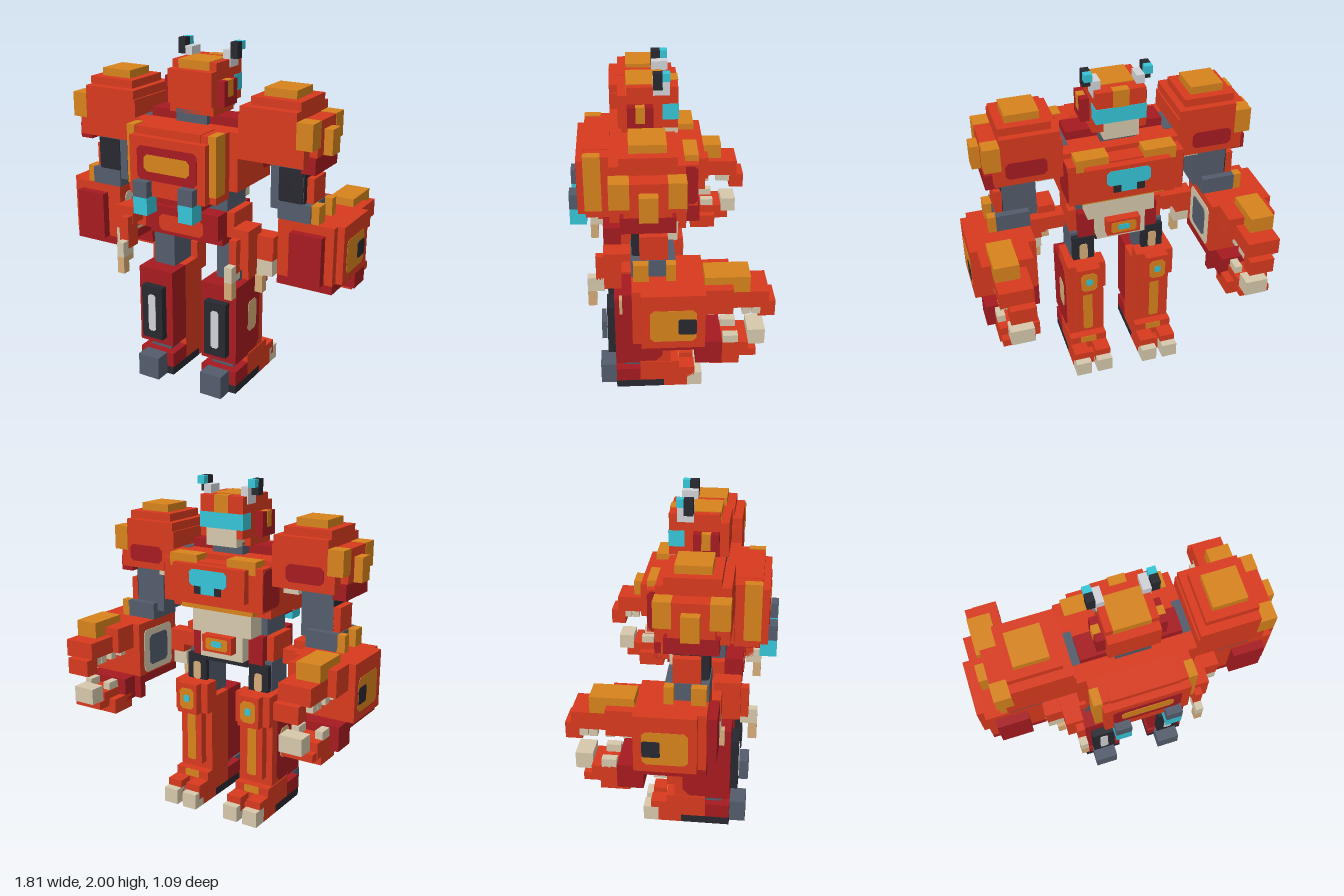
import * as THREE from 'three';

const mat = (name, color) => {
  const m = new THREE.MeshStandardMaterial({ color });
  m.name = name;
  return m;
};

export function createModel() {
  const red = mat('red', 0xd93a1e), dark = mat('dark red', 0xa61b20), gold = mat('gold', 0xd7831c);
  const grey = mat('slate grey', 0x535c6c), black = mat('black', 0x282930), cyan = mat('cyan', 0x36c6d8);
  const bone = mat('bone', 0xd6c8ac), tan = mat('tan', 0xd6ac78), white = mat('silver', 0xd2d3d8);
  const root = new THREE.Group();
  let part;
  const section = (name) => { part = new THREE.Group(); part.name = name; root.add(part); };
  const add = (name, m, geo) => {
    const mesh = new THREE.Mesh(geo, m);
    mesh.name = name;
    part.add(mesh);
    return mesh;
  };

  // Block from its bounds; pair mirrors it across x
  const box = (name, m, x0, x1, y0, y1, z0, z1) =>
    add(name, m, new THREE.BoxGeometry(x1 - x0, y1 - y0, z1 - z0))
      .position.set((x0 + x1) / 2, (y0 + y1) / 2, (z0 + z1) / 2);
  const pair = (name, m, x0, x1, ...r) => {
    box(name + 'Left', m, x0, x1, ...r);
    box(name + 'Right', m, -x1, -x0, ...r);
  };

  // Thin painted plate with clipped corners, facing along x or z
  const plate = (name, m, axis, pos, u0, u1, y0, y1, c = 0.02) => {
    const s = new THREE.Shape([[u0 + c, y0], [u1 - c, y0], [u1, y0 + c], [u1, y1 - c],
      [u1 - c, y1], [u0 + c, y1], [u0, y1 - c], [u0, y0 + c]].map(p => new THREE.Vector2(...p)));
    const g = new THREE.ExtrudeGeometry(s, { depth: 0.006, bevelEnabled: false });
    g.translate(0, 0, -0.003);
    if (axis === 'x') g.rotateY(-Math.PI / 2).translate(pos, 0, 0);
    else g.translate(0, 0, pos);
    add(name, m, g);
  };
  const platePair = (name, m, axis, pos, u0, u1, ...r) => {
    plate(name + 'Left', m, axis, pos, u0, u1, ...r);
    if (axis === 'x') plate(name + 'Right', m, axis, -pos, u0, u1, ...r);
    else plate(name + 'Right', m, axis, pos, -u1, -u0, ...r);
  };

  section('head');
  box('skull', red, -0.14, 0.14, 1.67, 1.86, -0.065, 0.26);
  box('skullTop', red, -0.14, 0.14, 1.86, 1.905, -0.065, 0.21);
  box('skullBase', red, -0.14, 0.14, 1.62, 1.67, 0.02, 0.24);
  box('crownPlate', gold, -0.1, 0.1, 1.86, 1.909, 0.02, 0.213);
  box('browCrest', gold, -0.045, 0.045, 1.81, 1.909, -0.07, -0.02);
  box('visor', cyan, -0.143, 0.143, 1.72, 1.81, -0.068, 0.02);
  box('chin', bone, -0.1, 0.1, 1.62, 1.72, -0.068, 0.02);
  pair('ear', dark, 0.14, 0.19, 1.67, 1.81, 0.07, 0.21);
  pair('earStrip', gold, 0.15, 0.193, 1.72, 1.812, 0.115, 0.165);
  pair('antennaBase', white, 0.1, 0.145, 1.86, 1.955, -0.02, 0.07);
  pair('antennaRod', black, 0.145, 0.19, 1.91, 2, 0.02, 0.07);
  pair('antennaLight', cyan, 0.145, 0.19, 1.955, 2, -0.02, 0.02);

  section('torso');
  box('neck', grey, -0.1, 0.1, 1.57, 1.64, 0, 0.24);
  pair('collar', dark, 0.1, 0.28, 1.57, 1.62, 0.07, 0.21);
  box('chestCore', red, -0.33, 0.33, 1.24, 1.57, -0.07, 0.31);
  pair('shoulderJoint', grey, 0.28, 0.35, 1.5, 1.573, 0.02, 0.21);
  box('breast', red, -0.33, 0.33, 1.29, 1.54, -0.165, -0.07);
  platePair('breastSide', dark, 'x', 0.33, -0.163, 0.02, 1.3, 1.53);
  box('breastPanel', red, -0.24, 0.24, 1.34, 1.53, -0.21, -0.165);
  pair('breastCorner', gold, 0.1, 0.285, 1.5, 1.575, -0.168, -0.07);
  box('breastUnderside', gold, -0.24, 0.24, 1.25, 1.3, -0.12, -0.06);
  plate('chestGem', cyan, 'z', -0.21, -0.125, 0.125, 1.41, 1.505, 0.018);
  plate('gemLower', cyan, 'z', -0.21, -0.08, 0.08, 1.365, 1.44, 0.015);
  platePair('gemStud', black, 'z', -0.212, 0.045, 0.09, 1.365, 1.41, 0.003);

  section('backpack');
  box('packBody', red, -0.28, 0.28, 1.2, 1.57, 0.31, 0.45);
  box('packBase', dark, -0.19, 0.19, 1.15, 1.2, 0.31, 0.45);
  pair('packCorner', gold, 0.235, 0.284, 1.24, 1.575, 0.36, 0.455);
  box('packTop', red, -0.19, 0.19, 1.53, 1.574, 0.31, 0.455);
  box('packPanel', red, -0.24, 0.24, 1.2, 1.53, 0.45, 0.495);
  plate('packInset', dark, 'z', 0.496, -0.19, 0.19, 1.29, 1.48);
  plate('packBadge', gold, 'z', 0.499, -0.145, 0.145, 1.34, 1.435);
  pair('jetHousing', grey, 0.1, 0.19, 1.2, 1.29, 0.44, 0.545);
  pair('jetFlame', cyan, 0.1, 0.19, 1.1, 1.2, 0.45, 0.545);

  section('waist');
  box('spine', grey, -0.24, 0.24, 1.1, 1.24, 0.05, 0.26);
  box('abdomen', bone, -0.2, 0.2, 1.1, 1.25, -0.068, 0.05);
  box('lowerAbdomen', bone, -0.145, 0.145, 0.95, 1.1, -0.068, 0.05);
  box('pelvis', dark, -0.24, 0.24, 0.91, 1.1, 0, 0.31);
  pair('hipBlock', red, 0.2, 0.285, 0.95, 1.1, 0.05, 0.26);
  box('rearBelt', dark, -0.24, 0.24, 0.955, 1.1, 0.31, 0.36);
  plate('rearBeltPanel', red, 'z', 0.361, -0.145, 0.145, 0.955, 1.05);
  box('crotch', black, -0.145, 0.145, 0.905, 0.95, -0.01, 0.2);
  box('buckle', red, -0.1, 0.1, 1.0, 1.1, -0.12, -0.06);
  plate('buckleTrim', gold, 'z', -0.121, -0.075, 0.075, 1.015, 1.085, 0.01);
  plate('buckleGem', cyan, 'z', -0.124, -0.035, 0.035, 1.035, 1.07, 0.008);

  section('hipClaws');
  pair('clawArm', red, 0.28, 0.53, 0.91, 1.0, 0.16, 0.26);
  pair('clawKnuckle', red, 0.33, 0.43, 0.95, 1.05, 0.21, 0.36);
  pair('clawInner', red, 0.335, 0.38, 0.81, 1.0, 0.31, 0.405);
  pair('clawOuter', red, 0.38, 0.43, 0.82, 0.95, 0.26, 0.36);
  pair('outerFinger', red, 0.43, 0.525, 0.86, 0.95, 0.16, 0.26);
  pair('talonUpper', bone, 0.335, 0.38, 0.77, 0.86, 0.36, 0.455);
  pair('talonLower', tan, 0.335, 0.38, 0.67, 0.77, 0.405, 0.455);
  pair('outerTalon', bone, 0.43, 0.525, 0.77, 0.86, 0.19, 0.26);
  pair('outerTalonTip', tan, 0.43, 0.475, 0.67, 0.77, 0.23, 0.28);

  section('shoulders');
  pair('pauldron', red, 0.33, 0.715, 1.43, 1.67, -0.07, 0.31);
  pair('pauldronUpper', red, 0.34, 0.67, 1.67, 1.72, -0.07, 0.31);
  pair('pauldronStep', red, 0.38, 0.67, 1.72, 1.765, -0.03, 0.26);
  pair('pauldronCap', gold, 0.43, 0.62, 1.765, 1.81, 0.02, 0.21);
  pair('pauldronOuter', red, 0.715, 0.76, 1.48, 1.67, 0, 0.24);
  pair('pauldronLower', dark, 0.68, 0.76, 1.39, 1.48, -0.02, 0.26);
  for (const [z0, z1] of [[-0.073, 0.02], [0.21, 0.313]])
    pair('pauldronCorner', gold, 0.67, 0.763, 1.53, 1.673, z0, z1);
  pair('pauldronStud', gold, 0.76, 0.81, 1.48, 1.62, 0.07, 0.165);
  platePair('pauldronInset', dark, 'z', -0.071, 0.42, 0.65, 1.47, 1.57);
  pair('pauldronLining', bone, 0.38, 0.475, 1.39, 1.43, -0.02, 0.1);

  section('upperArms');
  pair('armFrame', grey, 0.475, 0.67, 1.15, 1.43, 0.02, 0.2);
  platePair('armPad', black, 'z', 0.202, 0.525, 0.668, 1.2, 1.39, 0.005);
  platePair('armSidePad', black, 'x', 0.671, 0.02, 0.2, 1.2, 1.43, 0.005);
  pair('armGuard', red, 0.67, 0.715, 1.2, 1.34, 0.02, 0.165);
  pair('elbow', grey, 0.525, 0.72, 1.1, 1.2, -0.02, 0.21);
  pair('elbowStudRear', gold, 0.715, 0.765, 1.1, 1.2, 0.12, 0.2);
  pair('elbowStudFront', gold, 0.715, 0.765, 1.1, 1.2, -0.02, 0.03);

  section('beastForearms');
  pair('forearm', red, 0.53, 0.86, 0.77, 1.1, -0.165, 0.21);
  pair('forearmBase', dark, 0.53, 0.86, 0.72, 0.77, -0.165, 0.21);
  pair('forearmRear', dark, 0.62, 0.81, 0.77, 1.05, 0.21, 0.26);
  pair('cheek', red, 0.86, 0.9, 0.77, 1.1, -0.165, 0.165);
  platePair('cheekPanel', gold, 'x', 0.899, -0.12, 0.12, 0.815, 1.01);
  platePair('eye', black, 'x', 0.902, -0.12, -0.025, 0.86, 0.955, 0.008);
  platePair('innerFrame', bone, 'x', 0.529, -0.12, 0.16, 0.78, 1.05);
  platePair('innerPanel', grey, 'x', 0.525, -0.07, 0.11, 0.82, 1.01);
  pair('upperJaw', red, 0.575, 0.86, 0.95, 1.1, -0.31, -0.165);
  pair('muzzle', red, 0.62, 0.81, 0.95, 1.05, -0.5, -0.31);
  pair('snout', red, 0.62, 0.765, 0.86, 0.955, -0.545, -0.455);
  pair('browPlate', gold, 0.67, 0.81, 1.05, 1.145, -0.4, -0.165);
  for (const z of [-0.21, -0.3, -0.39, -0.44])
    for (const x of [0.625, 0.76]) pair('upperTooth', bone, x, x + 0.045, 0.905, 0.955, z - 0.02, z + 0.025);
  pair('jawHinge', dark, 0.575, 0.86, 0.63, 0.77, -0.26, -0.12);
  pair('wrist', dark, 0.53, 0.86, 0.63, 0.72, -0.165, -0.12);
  pair('jawUnderside', red, 0.575, 0.81, 0.58, 0.67, -0.36, -0.2);
  pair('lowerJaw', red, 0.62, 0.81, 0.63, 0.72, -0.405, -0.2);
  pair('jawTip', red, 0.62, 0.805, 0.625, 0.67, -0.45, -0.36);
  pair('lowerFang', bone, 0.63, 0.765, 0.67, 0.765, -0.5, -0.405);
  for (const x of [0.625, 0.765]) pair('lowerTooth', bone, x, x + 0.045, 0.715, 0.765, -0.35, -0.27);

  section('legs');
  pair('thigh', grey, 0.145, 0.285, 0.67, 0.95, 0.03, 0.21);
  pair('thighFront', black, 0.15, 0.28, 0.67, 0.93, -0.005, 0.03);
  platePair('thighStrip', tan, 'z', -0.006, 0.19, 0.24, 0.77, 0.88, 0.01);
  pair('shin', red, 0.1, 0.325, 0.19, 0.67, -0.02, 0.165);
  pair('calf', dark, 0.1, 0.33, 0.19, 0.67, 0.165, 0.31);
  platePair('shinSide', dark, 'x', 0.326, 0.03, 0.2, 0.2, 0.67, 0.04);
  platePair('shinPanel', tan, 'x', 0.329, 0.07, 0.17, 0.34, 0.53);
  pair('calfPad', black, 0.145, 0.285, 0.24, 0.575, 0.31, 0.355);
  platePair('calfStrip', white, 'z', 0.356, 0.19, 0.24, 0.29, 0.525, 0.012);
  pair('shinGuard', red, 0.145, 0.285, 0.24, 0.6, -0.07, -0.02);
  platePair('shinStripe', gold, 'z', -0.071, 0.185, 0.245, 0.26, 0.56, 0.01);
  pair('kneeBlock', red, 0.1, 0.33, 0.58, 0.77, -0.07, 0.03);
  pair('kneeSide', red, 0.285, 0.328, 0.67, 0.77, 0.03, 0.165);
  pair('kneeCap', red, 0.145, 0.285, 0.58, 0.77, -0.12, -0.07);
  platePair('kneePlate', gold, 'z', -0.121, 0.165, 0.265, 0.61, 0.74);
  platePair('kneeGem', cyan, 'z', -0.124, 0.195, 0.235, 0.655, 0.7, 0.01);

  section('feet');
  pair('ankle', red, 0.1, 0.33, 0.14, 0.19, -0.07, 0.165);
  pair('ankleRear', grey, 0.145, 0.285, 0.14, 0.2, 0.165, 0.26);
  pair('heelSide', dark, 0.1, 0.33, 0.05, 0.14, 0.165, 0.31);
  pair('heel', grey, 0.145, 0.285, 0, 0.14, 0.31, 0.405);
  pair('sole', black, 0.1, 0.33, 0, 0.05, 0.02, 0.31);
  pair('instep', red, 0.1, 0.33, 0.05, 0.14, -0.07, 0.165);
  pair('foot', red, 0.1, 0.33, 0, 0.09, -0.12, 0.02);
  platePair('anklePlate', gold, 'z', -0.071, 0.165, 0.265, 0.142, 0.188, 0.005);
  for (const x of [0.1, 0.235]) {
    pair('toeKnuckle', red, x, x + 0.095, 0.05, 0.14, -0.165, -0.07);
    pair('toe', bone, x, x + 0.095, 0, 0.095, -0.21, -0.12);
  }
  return root;
}
